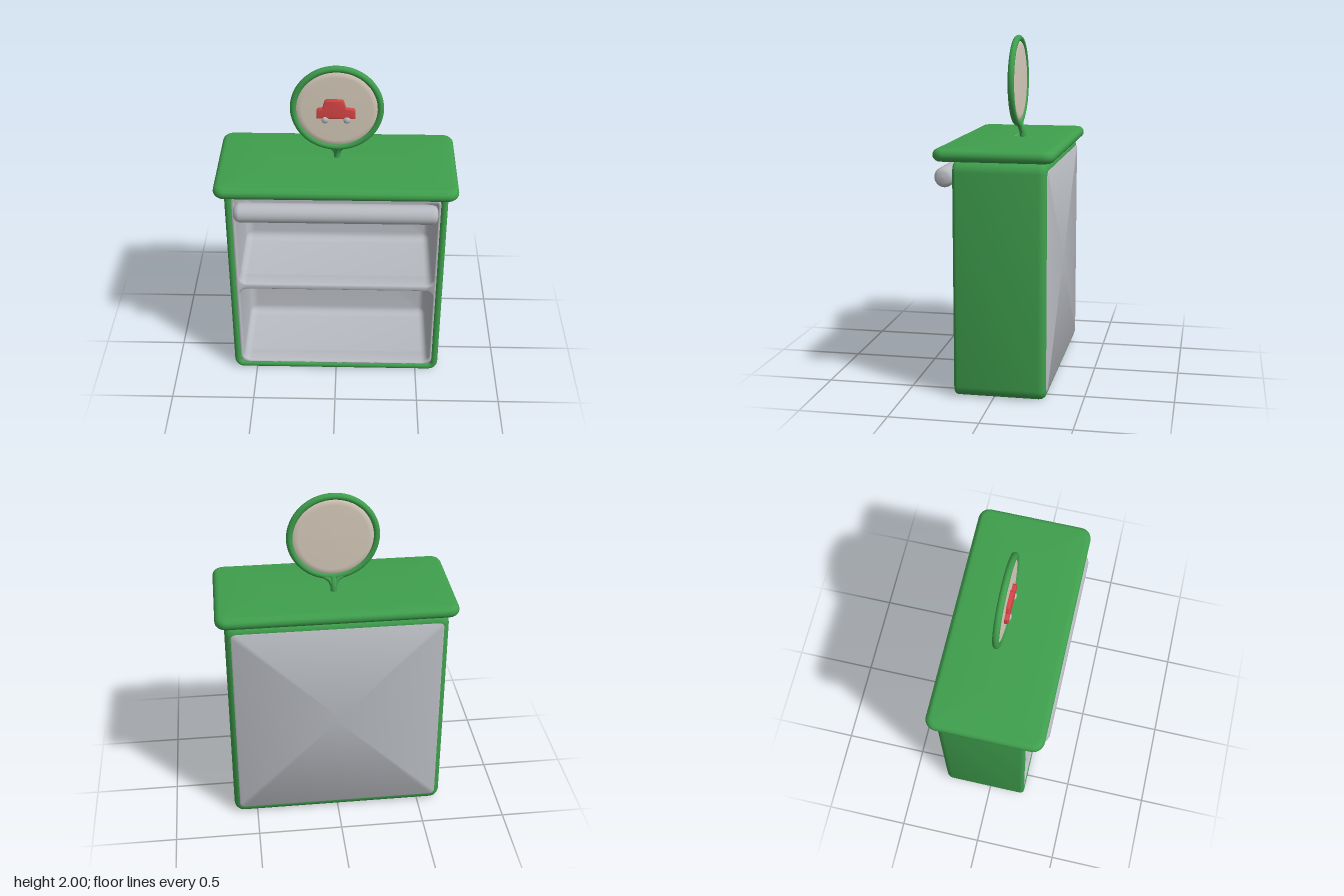
import * as THREE from 'three';
import { toCreasedNormals } from 'three/addons/utils/BufferGeometryUtils.js';

const green = new THREE.MeshStandardMaterial({ name: 'green paint', color: 0x3f9f4d });
const gray = new THREE.MeshStandardMaterial({ name: 'light gray', color: 0xb8bbc1 });
const beige = new THREE.MeshStandardMaterial({ name: 'beige', color: 0xd8ccbc });
const red = new THREE.MeshStandardMaterial({ name: 'red', color: 0xd64545 });

function roundedPoints(w, h, r, n = 6) {
  const pts = [];
  [[1, 1], [-1, 1], [-1, -1], [1, -1]].forEach(([sx, sy], c) => {
    for (let i = 0; i <= n; i++) {
      const a = (c + i / n) * Math.PI / 2;
      pts.push(new THREE.Vector2(sx * (w - r) + r * Math.cos(a), sy * (h - r) + r * Math.sin(a)));
    }
  });
  return pts;
}

// Rounded rectangles (half sizes w, h) joined along a profile of [inset, z]
function loft(w, h, r, profile) {
  const pos = [], index = [];
  let n = 0;
  for (const [d, z] of profile) {
    const loop = roundedPoints(w - d, h - d, Math.min(Math.max(r - d, 0.012), h - d));
    n = loop.length;
    loop.forEach(p => pos.push(p.x, p.y, z));
  }
  for (let k = 0; k < profile.length - 1; k++) {
    for (let i = 0; i < n; i++) {
      const a = k * n + i, b = k * n + (i + 1) % n;
      index.push(a, b, b + n, a, b + n, a + n);
    }
  }
  const g = new THREE.BufferGeometry();
  g.setAttribute('position', new THREE.Float32BufferAttribute(pos, 3));
  g.setIndex(index);
  return toCreasedNormals(g, 0.7);
}

// Quarter-round profile points between two angles
function arc(cd, cz, r, a0, a1, n = 5) {
  return Array.from({ length: n + 1 }, (_, i) => {
    const a = a0 + (a1 - a0) * i / n;
    return [cd + r * Math.cos(a), cz + r * Math.sin(a)];
  });
}

export function createModel() {
  const model = new THREE.Group();
  const PI = Math.PI;
  const add = (name, geo, mat, x = 0, y = 0, z = 0, parent = model) => {
    const m = new THREE.Mesh(geo, mat);
    m.name = name;
    m.position.set(x, y, z);
    parent.add(m);
    return m;
  };

  // Cabinet shell: rounded back, rim around the open front
  add('cabinetShell', loft(0.64, 0.667, 0.06, [
    [0.06, -0.298],
    ...arc(0.045, -0.253, 0.045, -PI / 2, -PI),
    ...arc(0.022, 0.203, 0.022, PI, 0, 8),
    [0.044, 0.1],
  ]), green, 0, 0.667, 0);

  // Back panel
  add('backPanel', loft(0.607, 0.625, 0.03, [[0.624, -0.302], [0.008, -0.302], [0, -0.296], [0, -0.28]]),
    gray, 0, 0.667, 0);

  // Front frame of the liner with two openings
  const cells = [[0.06, 0.625], [0.667, 1.285]];
  const shift = (pts, y) => pts.map(p => new THREE.Vector2(p.x, p.y + y));
  const face = new THREE.Shape(shift(roundedPoints(0.605, 0.63, 0.05), 0.667));
  for (const [lo, hi] of cells) {
    face.holes.push(new THREE.Path(shift(roundedPoints(0.58, (hi - lo) / 2, 0.045), (lo + hi) / 2)));
  }
  const frame = new THREE.ExtrudeGeometry(face, {
    depth: 0.08, bevelEnabled: true, bevelThickness: 0.018, bevelSize: 0.012, bevelOffset: -0.012, bevelSegments: 4,
  });
  add('linerFrame', toCreasedNormals(frame, 0.7), gray, 0, 0, 0.122);

  // Shelf compartments with soft inner corners
  cells.forEach(([lo, hi], i) => {
    const h = (hi - lo) / 2;
    add(i ? 'upperCompartment' : 'lowerCompartment', loft(0.58, h, 0.045, [
      [0, 0.17], ...arc(0.05, -0.22, 0.05, PI, PI * 1.5), [h - 0.001, -0.27],
    ]), gray, 0, (lo + hi) / 2, 0);
  });

  // Counter top
  const top = loft(0.69, 0.335, 0.065, [
    [0.334, -0.035], ...arc(0.034, 0, 0.035, -PI / 2, -PI * 1.5, 10), [0.334, 0.035],
  ]);
  top.rotateX(-PI / 2);
  add('counterTop', top, green, 0, 1.37, -0.005);

  // Roller bar across the front
  const roller = new THREE.LatheGeometry([
    [0, -0.58], [0.03, -0.578], [0.048, -0.568], [0.057, -0.545],
    [0.057, 0.545], [0.048, 0.568], [0.03, 0.578], [0, 0.58],
  ].map(p => new THREE.Vector2(...p)), 24);
  roller.rotateZ(PI / 2);
  add('rollerBar', roller, gray, 0, 1.234, 0.288);

  // Round sign on a short post
  const sign = new THREE.Group();
  sign.name = 'sign';
  model.add(sign);
  add('signRing', new THREE.TorusGeometry(0.247, 0.019, 12, 64), green, 0, 1.734, -0.029, sign);
  const disc = new THREE.LatheGeometry([
    [0, -0.016], [0.2, -0.015], [0.225, -0.011], [0.242, 0],
    [0.225, 0.011], [0.2, 0.015], [0, 0.016],
  ].map(p => new THREE.Vector2(...p)), 64);
  disc.rotateX(PI / 2);
  add('signDisc', disc, beige, 0, 1.734, -0.029, sign);
  const tube = (name, pts, r) => add(name, new THREE.TubeGeometry(
    new THREE.CatmullRomCurve3(pts.map(p => new THREE.Vector3(...p))), 12, r, 12), green, 0, 0, 0, sign);
  tube('signPost', [[0, 1.39, -0.056], [0, 1.44, -0.052], [0, 1.49, -0.03]], 0.019);
  for (const s of [-1, 1]) {
    tube('postBrace', [[s * 0.004, 1.43, -0.053], [s * 0.022, 1.468, -0.042], [s * 0.075, 1.5, -0.029]], 0.014);
  }

  // Little car emblem
  const outline = new THREE.Shape([
    [-0.113, 1.687], [0.103, 1.687], [0.104, 1.735], [0.094, 1.746], [0.052, 1.75], [0.038, 1.794],
    [0.03, 1.801], [-0.058, 1.801], [-0.068, 1.794], [-0.08, 1.75], [-0.103, 1.746], [-0.113, 1.738],
  ].map(p => new THREE.Vector2(...p)));
  const car = new THREE.ExtrudeGeometry(outline, {
    depth: 0.016, bevelEnabled: true, bevelThickness: 0.006, bevelSize: 0.006, bevelOffset: -0.005, bevelSegments: 3,
  });
  add('carBody', toCreasedNormals(car, 0.7), red, 0, 0, -0.014, sign);
  for (const x of [-0.066, 0.058]) {
    add('carWheel', new THREE.SphereGeometry(0.021, 20, 14), gray, x, 1.679, 0.004, sign).scale.z = 0.6;
  }

  return model;
}
